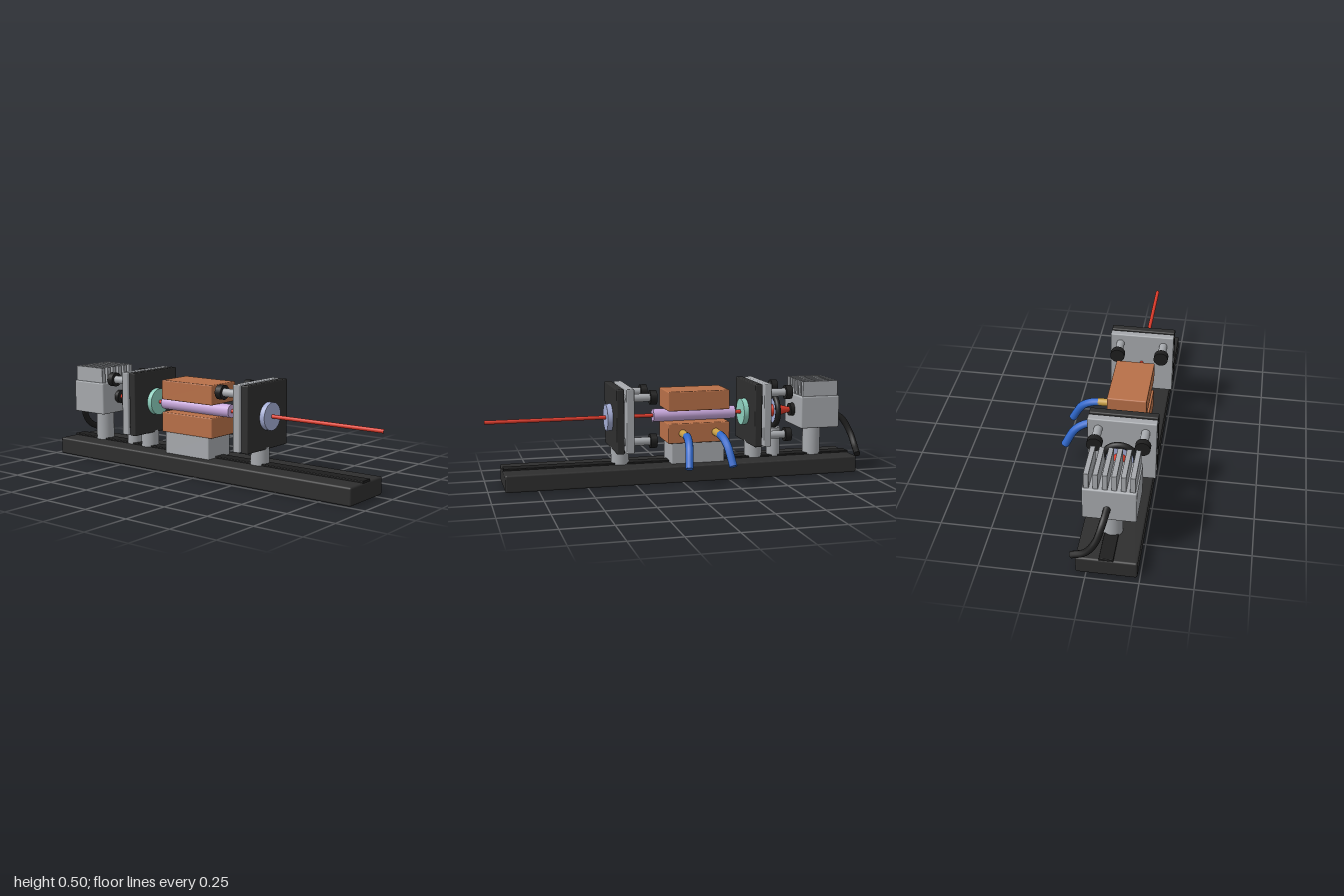
import * as THREE from 'three';
import { RoundedBoxGeometry } from 'three/addons/geometries/RoundedBoxGeometry.js';

const mat = (name, color) => new THREE.MeshStandardMaterial({ name, color });
const AXIS_Y = 0.337, AXIS_Z = 0.094; // optical axis

export function createModel() {
  const charcoal = mat('charcoal', 0x2e2e2e);
  const black = mat('black', 0x1e1e1e);
  const metal = mat('brushed metal', 0xa6a9ad);
  const copper = mat('copper', 0xb87048);
  const crystalLilac = mat('crystal lilac', 0xc8a8dc);
  const teal = mat('coated mirror teal', 0x8ccfbd);
  const glass = mat('pale blue glass', 0xa3acd4);
  const red = mat('beam red', 0xdc3a2a);
  const brass = mat('brass', 0xcaa045);
  const hoseBlue = mat('hose blue', 0x2f68cc);

  const model = new THREE.Group();
  const add = (name, geometry, material, parent = model) => {
    const mesh = new THREE.Mesh(geometry, material);
    mesh.name = name;
    parent.add(mesh);
    return mesh;
  };
  // Box given by its limits on each axis
  const box = (name, m, [x0, x1], [y0, y1], [z0, z1], parent, r = 0.006) =>
    add(name, new RoundedBoxGeometry(x1 - x0, y1 - y0, z1 - z0, 2, r), m, parent)
      .position.set((x0 + x1) / 2, (y0 + y1) / 2, (z0 + z1) / 2);
  // Cylinder lying along x, r0 at x0 and r1 at x1
  const rodX = (name, m, x0, x1, r0, r1, parent, y = AXIS_Y, z = AXIS_Z, open = false, sides = 32) => {
    const g = new THREE.CylinderGeometry(r1, r0, x1 - x0, sides, 1, open).rotateZ(-Math.PI / 2);
    add(name, g, m, parent).position.set((x0 + x1) / 2, y, z);
  };
  const post = (name, x, r, top, parent) =>
    add(name, new THREE.CylinderGeometry(r, r, top - 0.085, 32), metal, parent)
      .position.set(x, (top + 0.085) / 2, AXIS_Z);
  // Tube with closed ends through a few points
  const hose = (name, m, points, r, parent) => {
    const curve = new THREE.CatmullRomCurve3(points.map((p) => new THREE.Vector3(...p)));
    add(name, new THREE.TubeGeometry(curve, 20, r, 10), m, parent);
    for (const [t, sign] of [[0, -1], [1, 1]]) {
      const cap = add(name + 'End', new THREE.CircleGeometry(r, 10), m, parent);
      const p = curve.getPoint(t);
      cap.position.copy(p);
      cap.lookAt(p.clone().addScaledVector(curve.getTangent(t), sign));
    }
  };

  // Bench with raised centre rail
  box('benchBase', charcoal, [-0.97, 0.917], [0, 0.09], [-0.05, 0.238], model, 0.01);
  box('benchRail', black, [-0.967, 0.914], [0.08, 0.099], [0.06, 0.127], model, 0.002);

  // Pump laser head with cooling fins
  const head = new THREE.Group();
  head.name = 'pumpLaser';
  model.add(head);
  post('laserPost', -0.762, 0.048, 0.26, head);
  box('laserBody', metal, [-0.87, -0.652], [0.25, 0.422], [AXIS_Z - 0.125, AXIS_Z + 0.125], head, 0.008);
  for (let i = 0; i < 6; i++) {
    const z = AXIS_Z + (i - 2.5) * 0.042;
    box('coolingFin', metal, [-0.86, -0.663], [0.415, 0.503], [z - 0.012, z + 0.012], head, 0.002);
  }
  rodX('laserAperture', black, -0.655, -0.63, 0.035, 0.035, head);
  hose('powerCable', black, [
    [-0.862, 0.318, 0.085], [-0.93, 0.28, 0.073], [-0.972, 0.2, 0.045],
    [-0.978, 0.14, 0.0], [-0.966, 0.104, -0.066],
  ], 0.017, head);

  // Focusing lens in a ring holder
  const lens = new THREE.Group();
  lens.name = 'focusingLens';
  model.add(lens);
  post('lensPost', -0.54, 0.037, 0.245, lens);
  const ring = add('lensRing', new THREE.TorusGeometry(0.08, 0.015, 12, 40), black, lens);
  ring.rotation.y = Math.PI / 2;
  ring.position.set(-0.538, AXIS_Y, AXIS_Z);
  rodX('lensGlass', glass, -0.544, -0.532, 0.075, 0.075, lens);

  // Beam: focused cones, then a thin ray
  rodX('divergingBeam', red, -0.63, -0.54, 0.014, 0.036);
  rodX('convergingBeam', red, -0.54, -0.44, 0.036, 0.01);
  rodX('beam', red, -0.45, 1, 0.01, 0.01, model, AXIS_Y, AXIS_Z, true, 16);

  // Two adjustable mirror mounts
  const h = 0.1665;
  for (const [name, x, coating] of [['inputMirrorMount', -0.425, teal], ['outputMirrorMount', 0.308, glass]]) {
    const mount = new THREE.Group();
    mount.name = name;
    model.add(mount);
    post('mountPost', x, 0.047, 0.18, mount);
    const ys = [AXIS_Y - h, AXIS_Y + h], zs = [AXIS_Z - h, AXIS_Z + h];
    box('backPlate', metal, [x - 0.046, x - 0.005], ys, zs, mount);
    box('frontPlate', charcoal, [x + 0.006, x + 0.046], ys, zs, mount);
    rodX('mirror', coating, x + 0.04, x + 0.073, 0.07, 0.07, mount, AXIS_Y, AXIS_Z, false, 48);
    for (const [sy, sz] of [[1, 1], [1, -1], [-1, -1]]) {
      const y = AXIS_Y + sy * 0.113, z = AXIS_Z + sz * 0.113;
      rodX('screwShaft', metal, x - 0.14, x + 0.01, 0.021, 0.021, mount, y, z, false, 20);
      rodX('screwKnob', black, x - 0.169, x - 0.135, 0.037, 0.037, mount, y, z, false, 20);
    }
  }

  // Crystal clamped between copper blocks on a stand
  const oven = new THREE.Group();
  oven.name = 'crystalHolder';
  model.add(oven);
  box('stand', metal, [-0.238, 0.05], [0.085, 0.205], [0.006, 0.183], oven);
  box('lowerBlock', copper, [-0.26, 0.072], [0.2, 0.305], [-0.012, 0.184], oven);
  box('upperBlock', copper, [-0.26, 0.072], [0.37, 0.472], [-0.012, 0.184], oven);
  rodX('crystalRod', crystalLilac, -0.315, 0.131, 0.034, 0.034, oven);

  // Cooling water hoses behind the lower block
  for (const [x, bend] of [[-0.183, -1], [-0.005, 1]]) {
    const fitting = add('hoseFitting', new THREE.CylinderGeometry(0.02, 0.02, 0.09, 20).rotateX(Math.PI / 2), brass, oven);
    fitting.position.set(x, 0.253, -0.053);
    hose('coolingHose', hoseBlue, [
      [x, 0.253, -0.092], [x + bend * 0.004, 0.242, -0.137],
      [x + bend * 0.012, 0.207, -0.187], [x + bend * 0.026, 0.114, -0.24],
    ], 0.021, oven);
  }
  return model;
}
